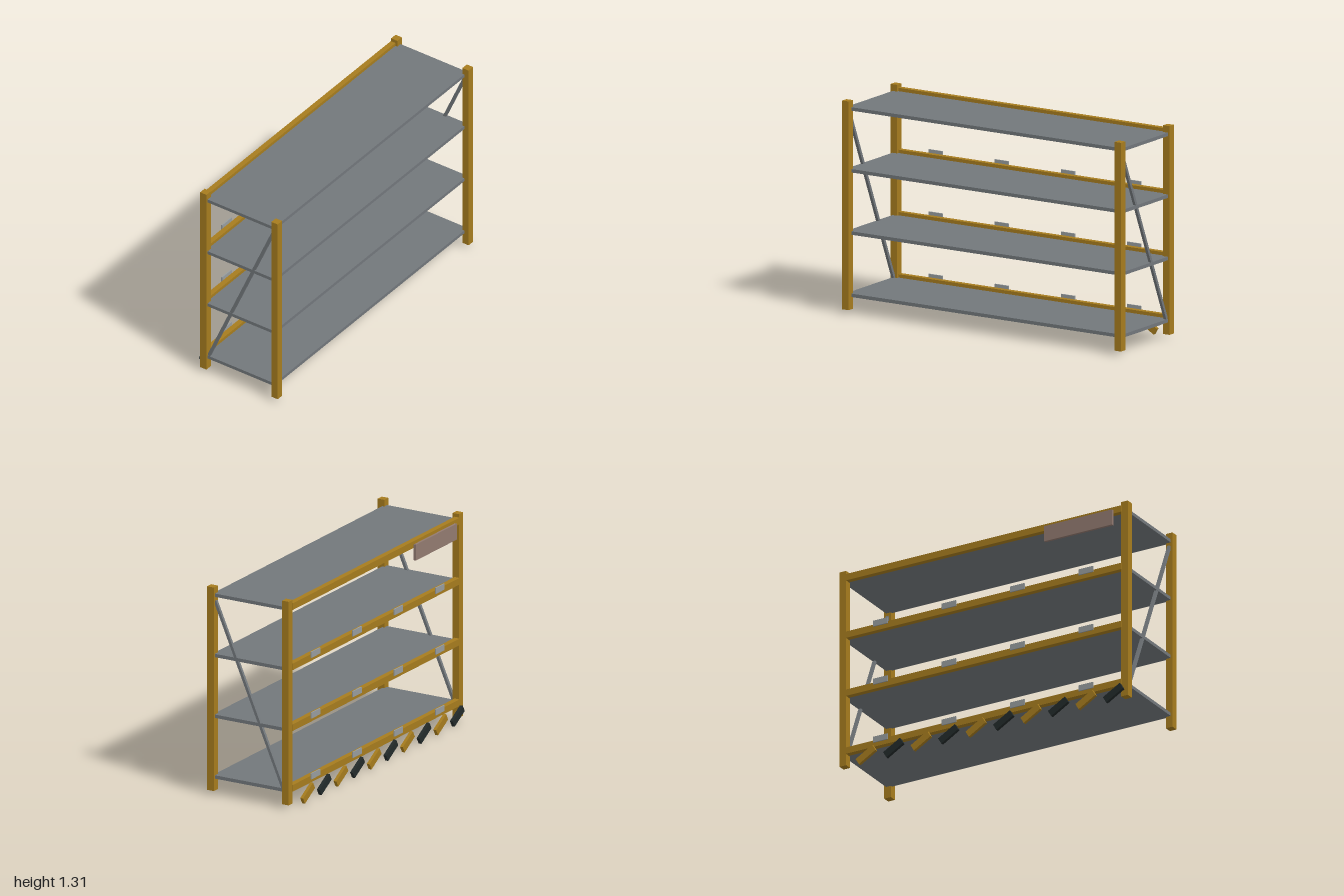
import * as THREE from 'three';

const mat = (name, hex) => {
  const m = new THREE.MeshStandardMaterial({ color: hex });
  m.name = name;
  return m;
};

export function createModel() {
  const group = new THREE.Group();
  group.name = 'shelvingRack';
  const gold = mat('gold', 0xa67c1e);
  const grey = mat('shelfGrey', 0x72777b);
  const dark = mat('darkStripe', 0x222a2a);
  const label = mat('labelGrey', 0x979c9e);
  const sign = mat('signBrown', 0x927a70);

  const box = (name, material, size, pos) => {
    const mesh = new THREE.Mesh(new THREE.BoxGeometry(...size), material);
    mesh.name = name;
    mesh.position.set(...pos);
    group.add(mesh);
    return mesh;
  };

  const levels = [0.115, 0.497, 0.879, 1.258];

  // Corner posts, end rails and diagonal braces
  for (const side of [-1, 1]) {
    const end = side > 0 ? 'left' : 'right';
    box(end + 'FrontPost', gold, [0.046, 1.28, 0.046], [side * 0.977, 0.67, 0.277]);
    box(end + 'BackPost', gold, [0.046, 1.28, 0.046], [side * 0.977, 0.67, -0.247]);
    for (const y of levels) {
      box(end + 'EndRail', grey, [0.02, 0.021, 0.48], [side * 0.977, y, 0.015]);
    }
    const dy = 1.11, dz = 0.48;
    const brace = box(end + 'Brace', grey, [0.018, Math.hypot(dy, dz), 0.018], [side * 0.977, 0.667, 0.015]);
    brace.rotation.x = Math.atan2(dz, dy);
  }

  // Shelf decks with a raised beam along the back
  for (const y of levels) {
    box('shelfDeck', grey, [1.935, 0.021, 0.51], [0, y, 0.013]);
    box('backBeam', gold, [1.91, 0.042, 0.034], [0, y + 0.01, -0.255]);
  }

  // Small label plates behind the lower three beams
  for (const y of levels.slice(0, 3)) {
    for (const x of [-0.715, -0.24, 0.235, 0.71]) {
      box('labelPlate', label, [0.1, 0.037, 0.008], [x, y + 0.032, -0.28]);
    }
  }

  // Sign board below the top beam
  box('signBoard', sign, [0.47, 0.1, 0.016], [-0.665, 1.219, -0.279]);

  // Slanted warning bars, alternately dark and gold
  for (let i = 0; i < 10; i++) {
    const bar = box('warningBar', i % 2 ? gold : dark, [0.134, 0.045, 0.02], [-0.91 + i * 0.1906, 0.056, -0.284]);
    bar.rotation.z = -Math.PI / 6;
  }

  return group;
}
